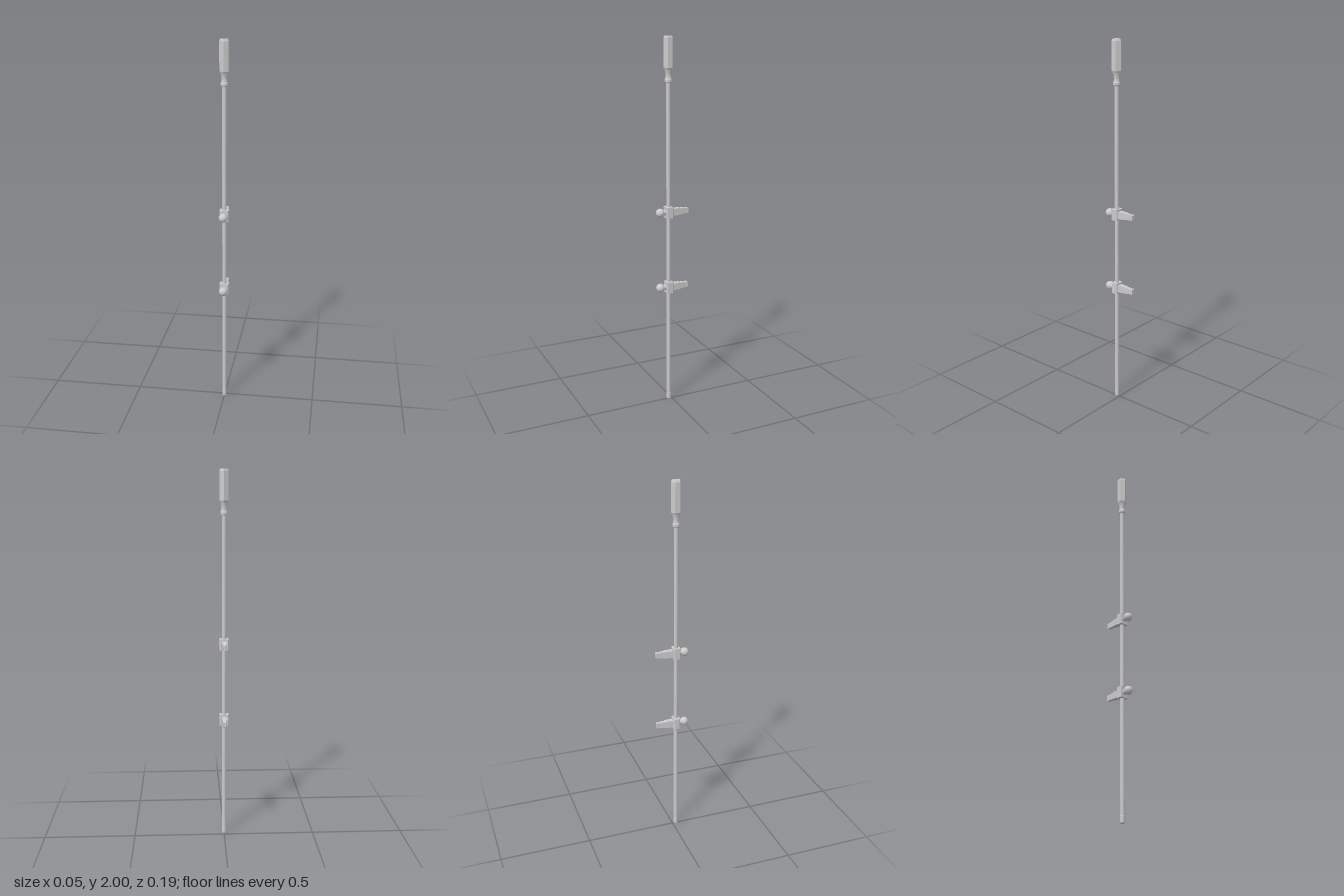
import * as THREE from 'three';

const AXIS_Z = 0.019;

function mat(flat) {
  return new THREE.MeshStandardMaterial({ color: 0xcccccc, flatShading: flat });
}

function add(parent, name, geometry, flat = true, x = 0, y = 0, z = 0) {
  const mesh = new THREE.Mesh(geometry, mat(flat));
  mesh.name = name;
  mesh.position.set(x, y, z);
  parent.add(mesh);
  return mesh;
}

function lathe(points, sides) {
  return new THREE.LatheGeometry(points.map(([r, y]) => new THREE.Vector2(r, y)), sides);
}

// Finger lever: notched side outline, narrowing in width towards the tip
function leverGeometry() {
  const outline = [
    [0, -0.019], [0.03, -0.019], [0.055, -0.016], [0.075, -0.014], [0.092, -0.014],
    [0.094, -0.012], [0.094, 0.014], [0.091, 0.016], [0.078, 0.016], [0.074, 0.013],
    [0.068, 0.017], [0.058, 0.017], [0.052, 0.015], [0.045, 0.019], [0, 0.019],
  ].map(([a, b]) => new THREE.Vector2(a, b));
  const g = new THREE.ExtrudeGeometry(new THREE.Shape(outline), { depth: 2, bevelEnabled: false });
  g.translate(0, 0, -1);
  const p = g.attributes.position;
  for (let i = 0; i < p.count; i++) {
    const half = THREE.MathUtils.lerp(0.016, 0.009, Math.min(1, p.getX(i) / 0.08));
    p.setZ(i, p.getZ(i) * half);
  }
  g.rotateY(Math.PI / 2); // outline now runs towards -z
  g.computeVertexNormals();
  return g;
}

// Clamp block with chamfered upright edges
function blockGeometry() {
  const w = 0.025, d = 0.019, c = 0.005;
  const corners = [
    [w, -d + c], [w, d - c], [w - c, d], [-w + c, d],
    [-w, d - c], [-w, -d + c], [-w + c, -d], [w - c, -d],
  ].map(([a, b]) => new THREE.Vector2(a, b));
  const g = new THREE.ExtrudeGeometry(new THREE.Shape(corners), { depth: 0.06, bevelEnabled: false });
  g.translate(0, 0, -0.03);
  g.rotateX(-Math.PI / 2);
  return g;
}

function createClamp(y) {
  const clamp = new THREE.Group();
  clamp.name = 'clamp';
  clamp.position.y = y;
  add(clamp, 'clampBlock', blockGeometry(), true, 0, 0, AXIS_Z);
  add(clamp, 'lever', leverGeometry());
  const neck = new THREE.CylinderGeometry(0.015, 0.015, 0.022, 16).rotateX(Math.PI / 2);
  add(clamp, 'knobNeck', neck, false, 0, 0, 0.046);
  add(clamp, 'ballKnob', new THREE.SphereGeometry(0.0235, 20, 14), false, 0, 0, 0.0675);
  // Pin head on each side
  for (const side of [-1, 1]) {
    const pin = new THREE.CylinderGeometry(0.005, 0.005, 0.002, 12).rotateZ(Math.PI / 2);
    add(clamp, 'sidePin', pin, true, side * 0.025, 0, AXIS_Z);
  }
  return clamp;
}

export function createModel() {
  const model = new THREE.Group();
  model.name = 'clampRod';

  // Long rod
  add(model, 'rod', new THREE.CylinderGeometry(0.0115, 0.0115, 1.76, 12), false, 0, 0.9, AXIS_Z);

  // Rod tip, with a slightly thicker collar
  add(model, 'rodTip', lathe([
    [0, 0], [0.01, 0], [0.0125, 0.005], [0.0125, 0.033], [0.0115, 0.038],
  ], 12), true, 0, 0, AXIS_Z);

  // Six-sided grip with a dimple in the top
  add(model, 'grip', lathe([
    [0, 1.83], [0.021, 1.83], [0.027, 1.842], [0.027, 1.99], [0.023, 2],
    [0.009, 2], [0.007, 1.994], [0, 1.994],
  ], 6), true, 0, 0, AXIS_Z);

  // Waisted ferrule under the grip
  add(model, 'ferrule', lathe([
    [0, 1.766], [0.016, 1.766], [0.019, 1.772], [0.019, 1.782], [0.0155, 1.792],
    [0.0145, 1.802], [0.016, 1.816], [0.0205, 1.834],
  ], 12), true, 0, 0, AXIS_Z);

  // Two identical clamps along the rod
  for (const y of [0.668, 1.087]) model.add(createClamp(y));

  return model;
}
